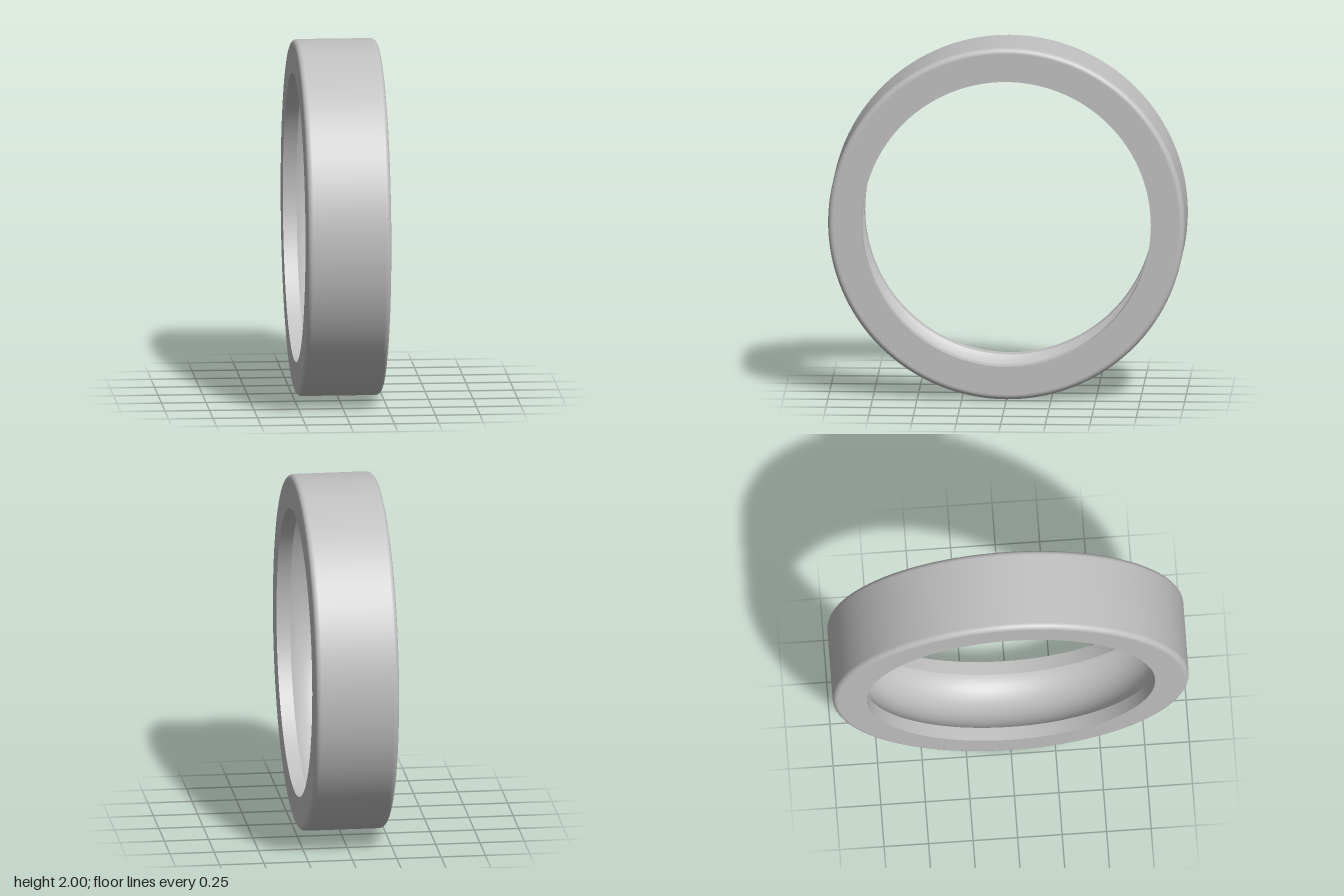
import * as THREE from 'three';

export function createModel() {
  const model = new THREE.Group();
  model.name = 'bearingOuterRing';
  const steel = new THREE.MeshStandardMaterial({ color: 0xc0c0c0 });
  steel.name = 'steel grey';

  const outer = 1, inner = 0.81, half = 0.235, fillet = 0.03;
  const grooveHalf = 0.158, grooveRadius = 0.2;

  // Points on an arc of the cross-section (radius, axial position)
  const arc = (cx, cy, r, from, to, steps) =>
    Array.from({ length: steps + 1 }, (_, i) => {
      const a = from + ((to - from) * i) / steps;
      return [cx + r * Math.cos(a), cy + r * Math.sin(a)];
    });

  // Each section is its own surface of revolution, so edges between them stay sharp
  const ring = new THREE.Group();
  ring.name = 'ring';
  const addSection = (name, points) => {
    const profile = points.map(([r, y]) => new THREE.Vector2(r, y));
    const mesh = new THREE.Mesh(new THREE.LatheGeometry(profile, 128), steel);
    mesh.name = name;
    ring.add(mesh);
  };

  const e = half - fillet, f = outer - fillet;
  const grooveAngle = Math.asin(grooveHalf / grooveRadius);
  const grooveCentre = inner - grooveRadius * Math.cos(grooveAngle);

  // Profile runs anticlockwise: outside, left face, bore, right face
  addSection('outerWall', [[outer, -e], [outer, e]]);
  addSection('outerFilletRight', arc(f, e, fillet, 0, Math.PI / 2, 8));
  addSection('faceRight', [[f, half], [inner, half]]);
  addSection('lipRight', [[inner, half], [inner, grooveHalf]]);
  addSection('ballGroove', arc(grooveCentre, 0, grooveRadius, grooveAngle, -grooveAngle, 24));
  addSection('lipLeft', [[inner, -grooveHalf], [inner, -half]]);
  addSection('faceLeft', [[inner, -half], [f, -half]]);
  addSection('outerFilletLeft', arc(f, -e, fillet, -Math.PI / 2, 0, 8));

  // Stand the ring upright with its axis along x
  ring.rotation.z = -Math.PI / 2;
  ring.position.y = outer;
  model.add(ring);
  return model;
}
